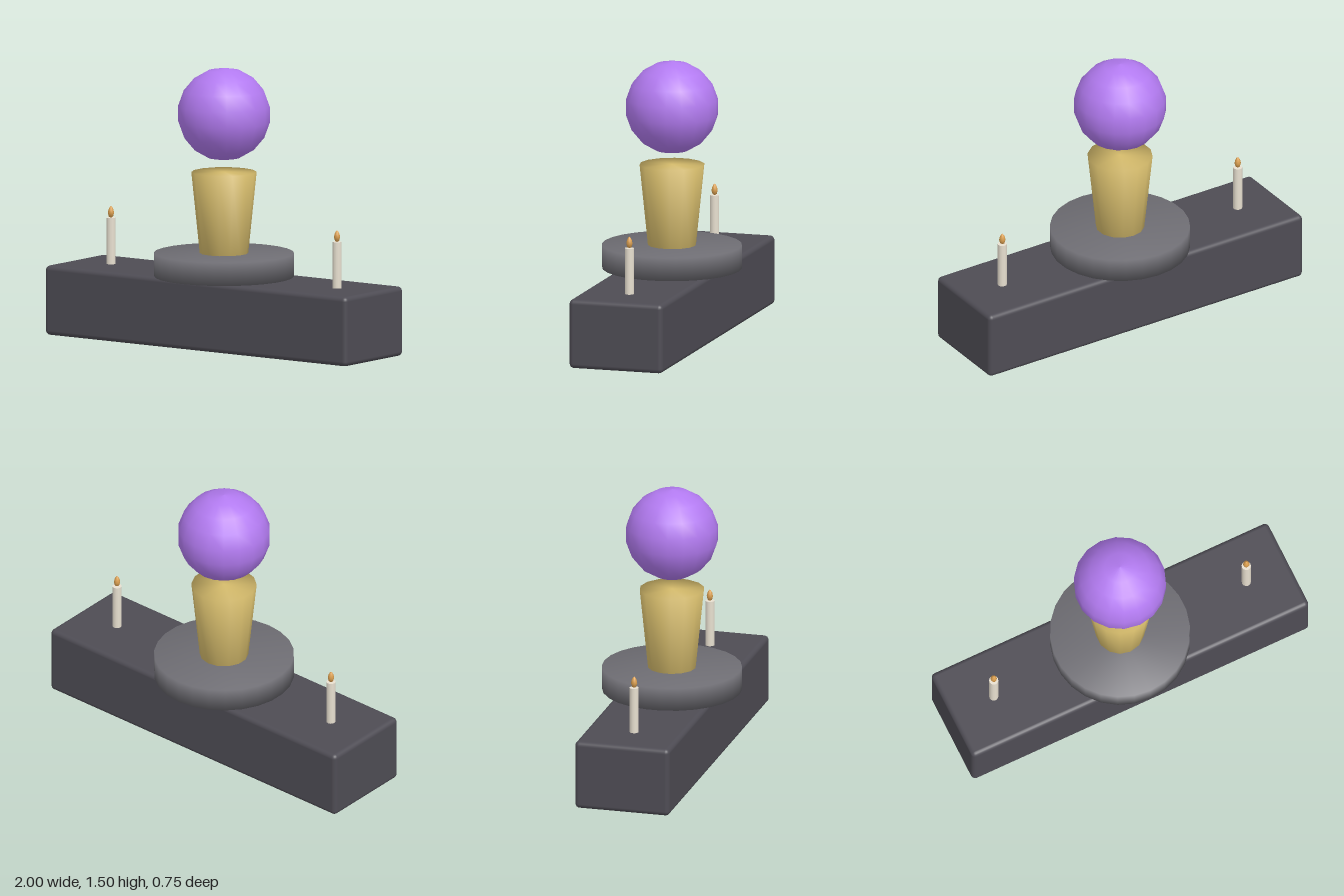
import * as THREE from 'three';
import { RoundedBoxGeometry } from 'three/addons/geometries/RoundedBoxGeometry.js';

const material = (color) => new THREE.MeshStandardMaterial({ color });

// Turned part from a bottom-to-top profile of [radius, y] pairs
function turned(name, profile, segments, mat) {
  const points = profile.map(([r, y]) => new THREE.Vector2(r, y));
  const mesh = new THREE.Mesh(new THREE.LatheGeometry(points, segments), mat);
  mesh.name = name;
  return mesh;
}

export function createModel() {
  const model = new THREE.Group();
  model.name = 'orbAltar';
  const stone = material(0x4e4c54);
  const paleStone = material(0x6e6d73);
  const gold = material(0xd6bc6c);
  const violet = material(0xb27af0);
  const wax = material(0xe8e0d0);
  const fire = material(0xdca050);

  // Long altar block with softened edges
  const block = new THREE.Mesh(new RoundedBoxGeometry(2, 0.375, 0.525, 3, 0.025), stone);
  block.name = 'altarBlock';
  block.position.y = 0.1875;
  model.add(block);

  // Round plinth and flared pedestal
  model.add(turned('plinth', [[0, 0.375], [0.375, 0.375], [0.375, 0.5], [0, 0.5]], 26, paleStone));
  model.add(turned('pedestal', [[0, 0.5], [0.13, 0.5], [0.175, 0.9375], [0, 0.9375]], 14, gold));

  // Floating orb
  const arc = [];
  for (let i = 0; i <= 9; i++) {
    const a = (i / 9) * Math.PI;
    arc.push([0.25 * Math.sin(a), 1.25 - 0.25 * Math.cos(a)]);
  }
  model.add(turned('orb', arc, 18, violet));

  // A candle with a teardrop flame at each end
  for (const side of [1, -1]) {
    const candle = new THREE.Group();
    candle.name = side > 0 ? 'leftCandle' : 'rightCandle';
    candle.position.set(side * 0.75, 0.375, 0);
    const stick = new THREE.Mesh(new THREE.CylinderGeometry(0.025, 0.025, 0.25, 12), wax);
    stick.name = 'candleStick';
    stick.position.y = 0.125;
    const flame = turned('flame',
      [[0, 0.248], [0.012, 0.256], [0.0175, 0.275], [0.014, 0.292], [0.007, 0.306], [0, 0.3125]], 10, fire);
    candle.add(stick, flame);
    model.add(candle);
  }
  return model;
}
